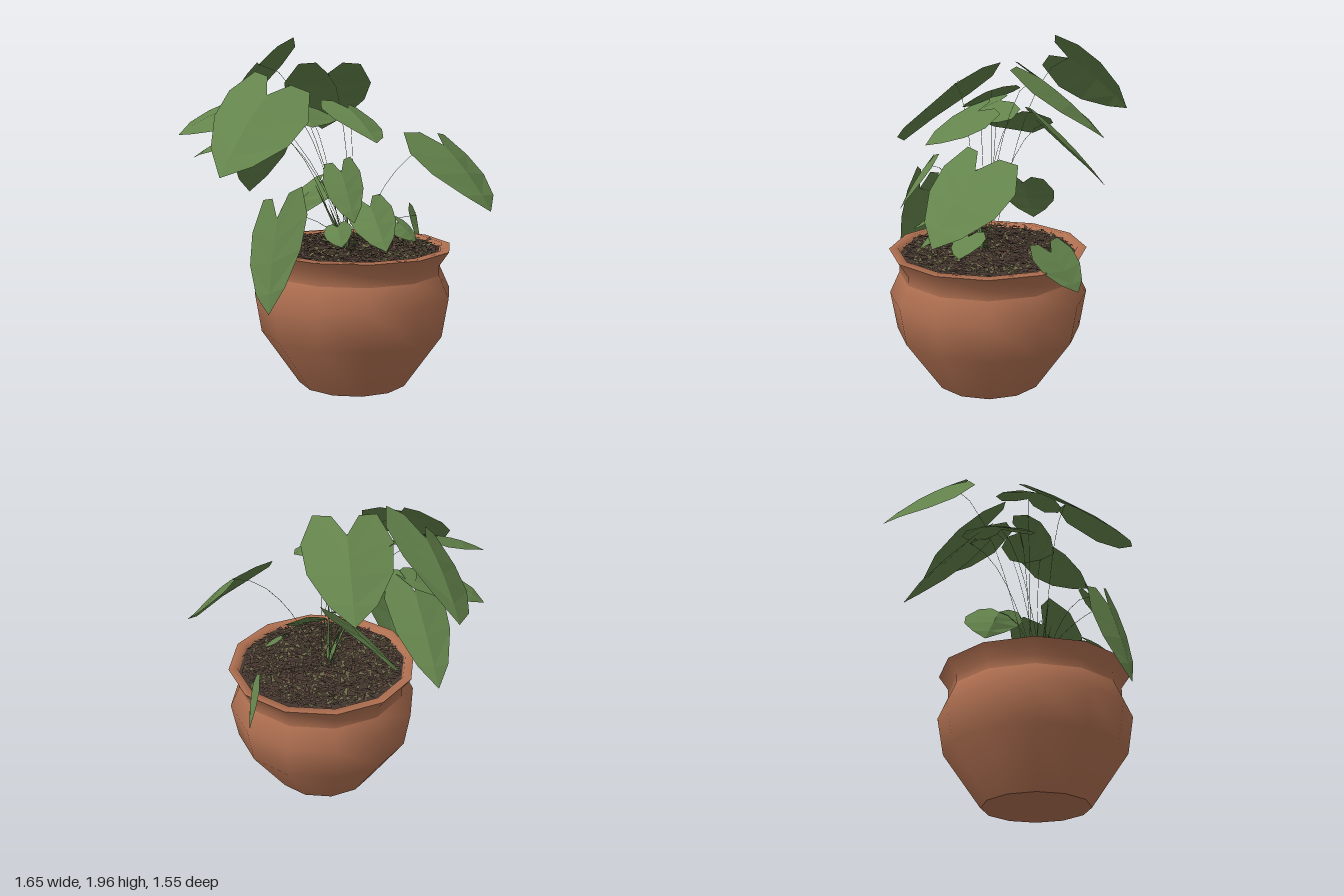
import * as THREE from 'three';
import { mergeGeometries } from 'three/addons/utils/BufferGeometryUtils.js';

const CX = 0.105, CZ = 0.22; // pot axis

// half outline of a heart-shaped leaf: [side, along], with matching midrib positions
const OUTLINE = [[0, 0], [0.3, -0.24], [0.7, -0.27], [1, 0.05], [0.92, 0.4], [0.52, 0.76], [0, 1]];
const MIDRIB = [0, 0.02, 0.08, 0.25, 0.46, 0.78, 1];

// leaf blade from its notch, its tip and its full width vector
function leafGeometry(base, tip, width) {
  const length = tip.clone().sub(base);
  const half = width.clone().multiplyScalar(0.5);
  const normal = width.clone().cross(length).normalize();
  if (normal.y < 0) normal.negate();
  const size = half.length();
  const at = (u, v) => base.clone()
    .addScaledVector(length, v)
    .addScaledVector(half, u)
    .addScaledVector(normal, size * (0.3 * v * (1 - v) - 0.2 * u * u));
  const pos = [], index = [];
  for (const side of [-1, 1]) {
    const start = pos.length / 3;
    OUTLINE.forEach(([u, v], i) => {
      pos.push(...at(0, MIDRIB[i]).toArray(), ...at(side * u, v).toArray());
    });
    for (let i = 0; i < OUTLINE.length - 1; i++) {
      const a = start + i * 2;
      if (side > 0) index.push(a, a + 1, a + 2, a + 1, a + 3, a + 2);
      else index.push(a, a + 2, a + 1, a + 1, a + 2, a + 3);
    }
  }
  const geo = new THREE.BufferGeometry();
  geo.setAttribute('position', new THREE.Float32BufferAttribute(pos, 3));
  geo.setIndex(index);
  geo.computeVertexNormals();
  return geo;
}

// notch, tip, width of every leaf
const LEAVES = [
  ['rightFrontLeaf', [0.55, 1.36, 0.45], [0.68, 1.01, 0.73], [0.52, -0.05, -0.2]],
  ['leftFrontLeaf', [-0.43, 1.65, 0.22], [-0.8, 1.25, 0.44], [0.22, -0.15, 0.52]],
  ['topBackLeaf', [-0.19, 1.8, -0.4], [-0.16, 1.48, -0.78], [0.4, 0.3, 0.06]],
  ['upperBackLeaf', [0.1, 1.75, -0.08], [0.25, 1.4, -0.43], [0.45, 0.0, 0.22]],
  ['lowerBackLeaf', [-0.21, 1.42, -0.28], [-0.15, 1.01, -0.64], [0.33, 0.03, 0.08]],
  ['leftSideLeaf', [-0.52, 1.58, -0.04], [-0.82, 1.43, -0.08], [0.1, 0.1, -0.33]],
  ['leftBackLeaf', [-0.35, 1.46, -0.14], [-0.63, 1.27, -0.36], [0.3, 0.06, -0.3]],
  ['crownLeaf', [-0.16, 1.58, 0.04], [-0.17, 1.47, 0.25], [0.45, -0.05, 0.05]],
  ['crownFrontLeaf', [0.05, 1.57, 0.25], [0.05, 1.4, 0.56], [0.31, -0.07, 0.03]],
  ['middleFrontLeaf', [-0.13, 1.25, 0.5], [-0.14, 1.0, 0.66], [0.21, 0.05, 0.03]],
  ['hangingLeftLeaf', [-0.48, 1.02, 0.44], [-0.57, 0.53, 0.52], [0.2, 0.12, 0.25]],
  ['innerLeaf', [0.02, 1.13, -0.03], [-0.16, 0.86, -0.17], [0.14, 0.1, 0.4]],
  ['lowFrontLeaf', [0.13, 1.03, 0.36], [0.08, 0.82, 0.62], [0.28, 0.05, 0.0]],
  ['smallRightLeaf', [0.29, 0.93, 0.4], [0.36, 0.83, 0.48], [0.16, 0.04, -0.13]],
  ['smallFrontLeaf', [-0.13, 0.95, 0.46], [-0.17, 0.86, 0.58], [0.16, 0.03, 0.02]],
  ['rimRightLeaf', [0.63, 0.9, 0.06], [0.72, 0.69, -0.06], [0.06, 0.06, -0.2]],
];

export function createModel() {
  const model = new THREE.Group();
  const clay = new THREE.MeshStandardMaterial({ color: 0xb07051 });
  const earth = new THREE.MeshStandardMaterial({ color: 0x44362f });
  const bark = new THREE.MeshStandardMaterial({ color: 0x564339, flatShading: true, side: THREE.DoubleSide });
  const moss = new THREE.MeshStandardMaterial({ color: 0x6a6747, flatShading: true, side: THREE.DoubleSide });
  const green = new THREE.MeshStandardMaterial({ color: 0x64844c, flatShading: true, side: THREE.DoubleSide });

  const add = (parent, name, geometry, material) => {
    const mesh = new THREE.Mesh(geometry, material);
    mesh.name = name;
    parent.add(mesh);
    return mesh;
  };

  // twelve-sided clay pot
  const SIDES = 12;
  const pot = new THREE.Group();
  pot.name = 'pot';
  pot.position.set(CX, 0, CZ);
  pot.rotation.y = 0.17;
  model.add(pot);
  const lathe = (pts) => new THREE.LatheGeometry(pts.map(([x, y]) => new THREE.Vector2(x, y)), SIDES);
  const disc = (r, facing, y) => new THREE.CircleGeometry(r, SIDES).rotateX(facing * Math.PI / 2).translate(0, y, 0);
  add(pot, 'potBody', lathe([[0.31, 0], [0.525, 0.31], [0.562, 0.53], [0.505, 0.655]]), clay);
  add(pot, 'potNeck', lathe([[0.505, 0.65], [0.505, 0.71], [0.56, 0.79]]), clay);
  add(pot, 'potRim', lathe([[0.56, 0.79], [0.51, 0.795], [0.49, 0.75]]), clay);
  add(pot, 'potBase', disc(0.31, 1, 0), clay);
  add(pot, 'soil', disc(0.5, -1, 0.77), earth);

  // flat bark chips scattered in a spiral over the soil
  const chips = [[], []];
  let seed = 7;
  const rand = () => (seed = (seed * 16807) % 2147483647) / 2147483647;
  const count = 800;
  for (let i = 0; i < count; i++) {
    const r = 0.475 * Math.sqrt((i + 0.5) / count), a = i * 2.39996;
    const chip = new THREE.CircleGeometry(1, 3).rotateX(-Math.PI / 2).scale(0.022 + 0.016 * rand(), 1, 0.016);
    chip.rotateX((rand() - 0.5) * 1.1).rotateZ((rand() - 0.5) * 0.9).rotateY(rand() * 6.28);
    chip.translate(r * Math.cos(a), 0.779 + 0.015 * rand(), r * Math.sin(a));
    chips[rand() < 0.42 ? 1 : 0].push(chip);
  }
  add(pot, 'barkChips', mergeGeometries(chips[0]), bark);
  add(pot, 'mossChips', mergeGeometries(chips[1]), moss);

  // leaves, each on a very thin arching stem
  const plant = new THREE.Group();
  plant.name = 'plant';
  model.add(plant);
  LEAVES.forEach(([name, b, t, w], i) => {
    const base = new THREE.Vector3(...b), tip = new THREE.Vector3(...t);
    add(plant, name, leafGeometry(base, tip, new THREE.Vector3(...w)), green);
    const root = new THREE.Vector3(0.07 + 0.04 * Math.cos(i * 2.4), 0.76, 0.22 + 0.04 * Math.sin(i * 2.4));
    const bend = root.clone().lerp(base, 0.45).setY(base.y + 0.02);
    const curve = new THREE.QuadraticBezierCurve3(root, bend, base);
    add(plant, name + 'Stem', new THREE.TubeGeometry(curve, 8, 0.0015, 3), green);
  });

  // young upright shoots
  for (const [x, y, z] of [[-0.15, 1.17, 0.22], [-0.08, 1.05, 0.26], [0.02, 1.25, 0.28]]) {
    const root = new THREE.Vector3(0.06, 0.76, 0.23), top = new THREE.Vector3(x, y, z);
    const dir = top.clone().sub(root);
    const shoot = add(plant, 'shoot', new THREE.ConeGeometry(0.013, dir.length(), 4), green);
    shoot.position.copy(root).lerp(top, 0.5);
    shoot.quaternion.setFromUnitVectors(new THREE.Vector3(0, 1, 0), dir.normalize());
  }
  return model;
}
